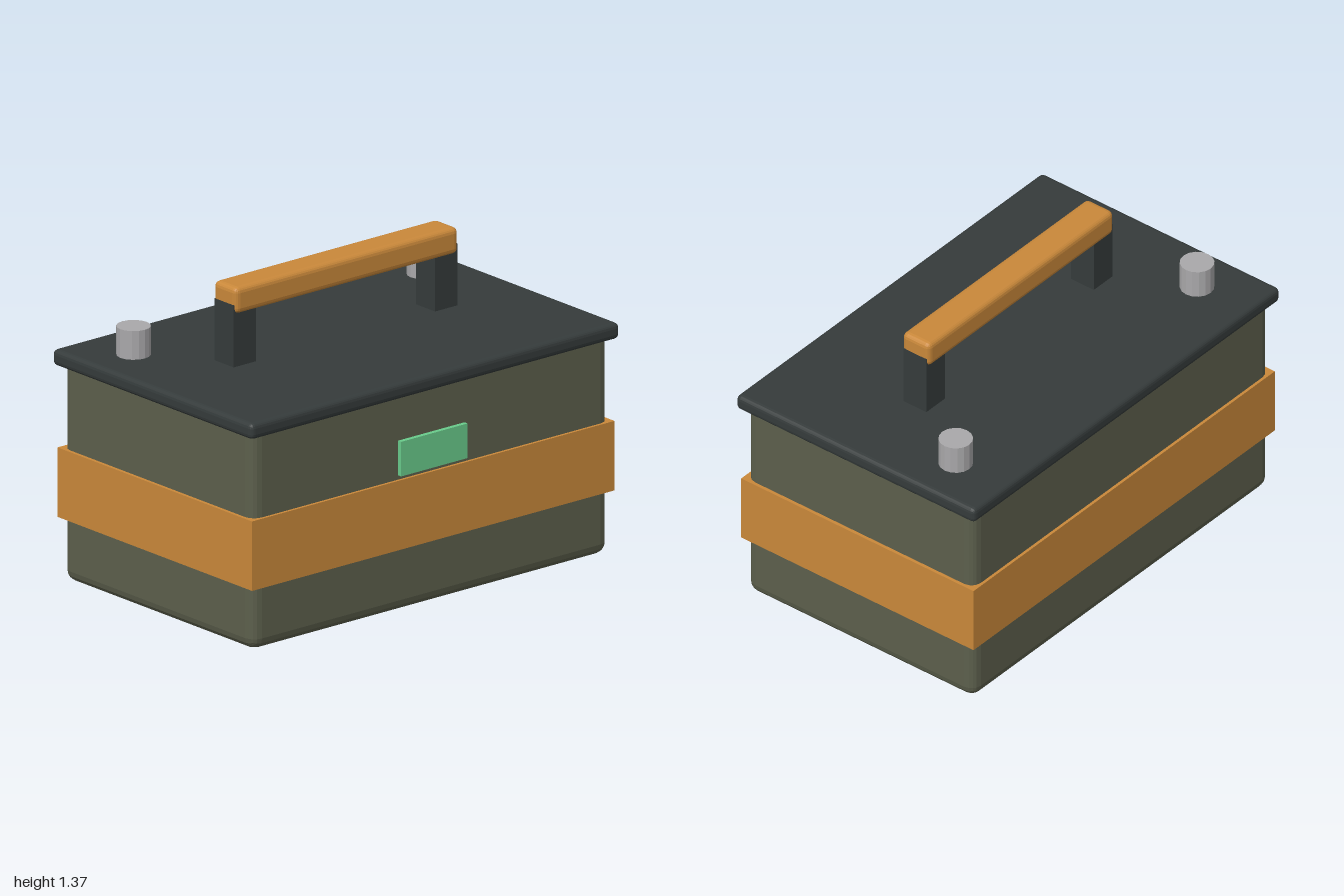
import * as THREE from 'three';
import { RoundedBoxGeometry } from 'three/addons/geometries/RoundedBoxGeometry.js';

function material(name, color, flatShading = true) {
  const m = new THREE.MeshStandardMaterial({ color, flatShading });
  m.name = name;
  return m;
}

export function createModel() {
  const group = new THREE.Group();
  group.name = 'batteryBox';

  const olive = material('olive', 0x5c5f4c);
  const charcoal = material('charcoal', 0x353b3b);
  const orange = material('orange', 0xc9883a);
  const green = material('green', 0x69cb8b);
  const metal = material('metal', 0xa9a8aa);

  const add = (name, geometry, mat, x, y, z) => {
    const mesh = new THREE.Mesh(geometry, mat);
    mesh.name = name;
    mesh.position.set(x, y, z);
    group.add(mesh);
  };
  // Box spanning y0..y1, with optional rounded edges
  const box = (name, mat, w, d, y0, y1, radius = 0, x = 0, z = 0) => {
    const h = y1 - y0;
    const geometry = radius
      ? new RoundedBoxGeometry(w, h, d, 2, radius)
      : new THREE.BoxGeometry(w, h, d);
    add(name, geometry, mat, x, (y0 + y1) / 2, z);
  };

  // Case, lid and the band around the case
  box('case', olive, 1.935, 1.21, 0, 0.99, 0.05);
  box('lid', charcoal, 2, 1.27, 0.937, 1.007, 0.022);
  box('band', orange, 1.965, 1.236, 0.275, 0.578);

  // Indicator on the front
  box('indicator', green, 0.36, 0.025, 0.597, 0.748, 0, 0, 0.6125);

  // Carrying handle
  box('handleGrip', orange, 1.21, 0.146, 1.25, 1.365, 0.024);

  for (const [side, s] of [['left', 1], ['right', -1]]) {
    box(side + 'HandlePost', charcoal, 0.121, 0.121, 1.02, 1.29, 0, s * 0.546);
    // Terminal post near the back edge
    add(side + 'Terminal', new THREE.CylinderGeometry(0.072, 0.072, 0.13, 16), metal, s * 0.787, 1.067, -0.364);
  }
  return group;
}
